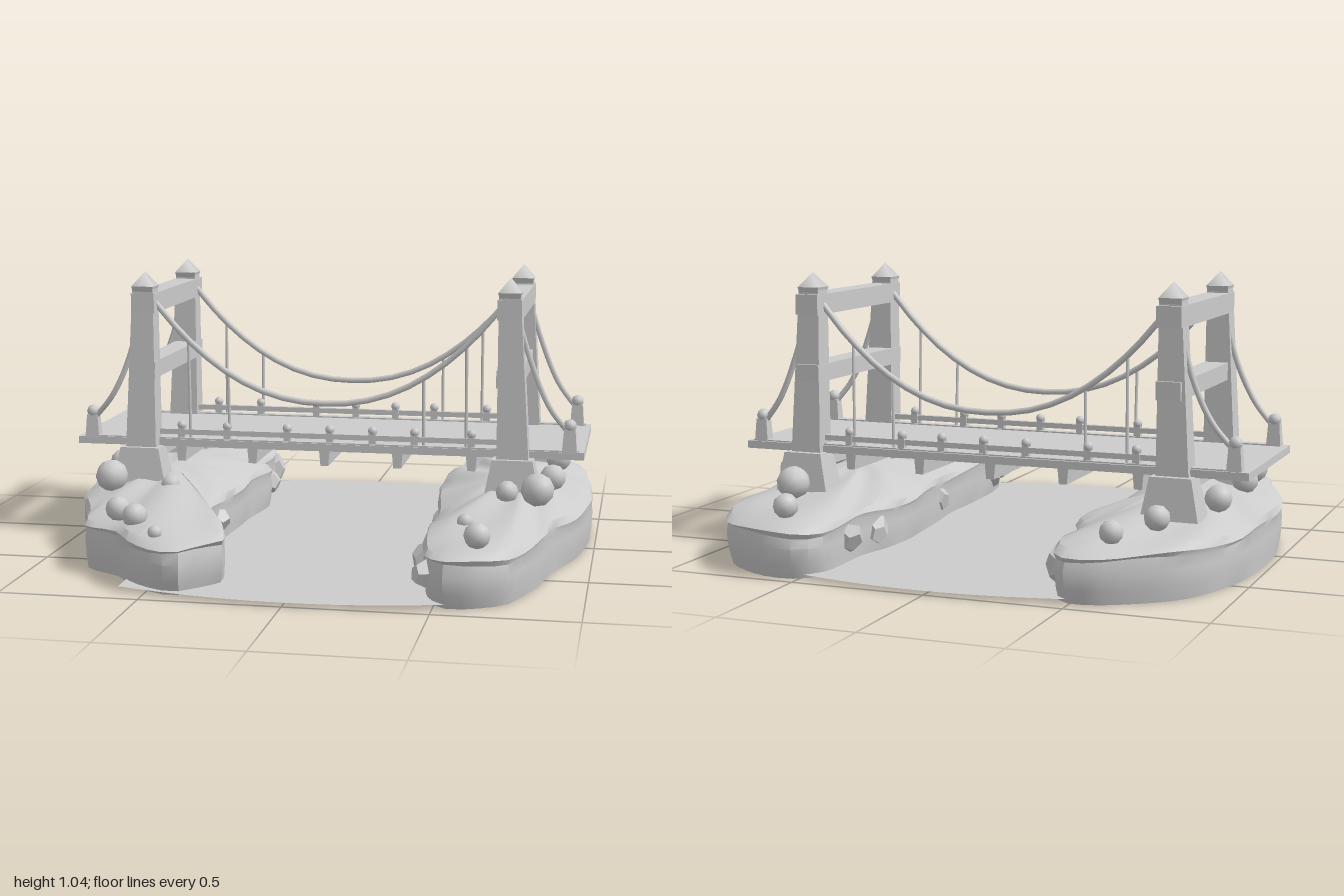
import * as THREE from 'three';
import { toCreasedNormals } from 'three/addons/utils/BufferGeometryUtils.js';

const grey = new THREE.MeshStandardMaterial({ color: 0xcccccc });
grey.name = 'plain grey';
const greySheet = new THREE.MeshStandardMaterial({ color: 0xcccccc, side: THREE.DoubleSide });
greySheet.name = 'plain grey sheet';
const V = (x, y, z) => new THREE.Vector3(x, y, z);

function add(parent, name, geometry, material = grey) {
  const mesh = new THREE.Mesh(geometry, material);
  mesh.name = name;
  parent.add(mesh);
  return mesh;
}

// Box given by its low and high limits on each axis
function box(parent, name, x0, x1, y0, y1, z0, z1) {
  const m = add(parent, name, new THREE.BoxGeometry(x1 - x0, y1 - y0, z1 - z0));
  m.position.set((x0 + x1) / 2, (y0 + y1) / 2, (z0 + z1) / 2);
  return m;
}

// Box that narrows and leans between two heights; ends are [centre x, width x, depth z]
function taper(parent, name, y0, y1, [x0, w0, d0], [x1, w1, d1], z) {
  const g = new THREE.BoxGeometry(1, 1, 1);
  const p = g.attributes.position;
  for (let i = 0; i < p.count; i++) {
    const top = p.getY(i) > 0;
    p.setXYZ(i, (top ? x1 : x0) + p.getX(i) * (top ? w1 : w0), top ? y1 : y0,
      z + p.getZ(i) * (top ? d1 : d0));
  }
  g.computeVertexNormals();
  return add(parent, name, g);
}

function tube(parent, name, points, radius) {
  return add(parent, name, new THREE.TubeGeometry(new THREE.CatmullRomCurve3(points), 20, radius, 6));
}

// Island: one outline shrunk through a stack of rings
function island(parent, name, outline, cx, cz) {
  const n = 72;
  const curve = new THREE.CatmullRomCurve3(outline.map(([x, z]) => V(x, 0, z)), true);
  const pts = curve.getSpacedPoints(n).slice(0, n);
  // height, scale
  const rings = [[0, 0.001], [0, 0.965], [0.05, 0.985], [0.11, 0.995], [0.15, 0.985], [0.165, 1],
    [0.185, 0.96], [0.205, 0.8], [0.23, 0.58], [0.25, 0.34], [0.262, 0.001]];
  const pos = [], idx = [];
  rings.forEach(([y, s], r) => pts.forEach((p, j) => {
    const wob = r > 1 && r < 6 ? 0.012 * Math.sin(j * 0.87 + Math.sin(j * 0.4) * 2) : 0;
    const lift = r > 3 && s > 0.1 ? 0.007 * Math.sin(j * 0.7 + r) : 0;
    pos.push(cx + (p.x - cx) * (s + wob), y + lift, cz + (p.z - cz) * (s + wob * 0.3));
  }));
  for (let r = 0; r < rings.length - 1; r++) {
    for (let j = 0; j < n; j++) {
      const k = (j + 1) % n, a = r * n, b = a + n;
      idx.push(a + k, a + j, b + j, a + k, b + j, b + k);
    }
  }
  const g = new THREE.BufferGeometry();
  g.setAttribute('position', new THREE.Float32BufferAttribute(pos, 3));
  g.setIndex(idx);
  add(parent, name, toCreasedNormals(g, 0.6));
}

function boulder(parent, name, x, y, z, r, i, detail = 0) {
  const g = detail ? new THREE.IcosahedronGeometry(r, 1) : new THREE.DodecahedronGeometry(r);
  const m = add(parent, name, g);
  m.position.set(x, y, z);
  m.rotation.set(i * 0.9, i * 1.7, i * 0.5);
  return m;
}

// One tower: two legs with feet and caps, joined by cross beams
function tower(parent, side) {
  const t = new THREE.Group();
  t.name = side < 0 ? 'rightTower' : 'leftTower';
  parent.add(t);
  const low = side < 0 ? -0.725 : 0.7, high = side < 0 ? -0.71 : 0.68;
  for (const z of [0.145, -0.47]) {
    const out = z > 0 ? 0.015 : -0.02;
    taper(t, 'towerFoot', 0.22, 0.37, [low, 0.21, 0.13], [low, 0.15, 0.1], z + out);
    taper(t, 'towerLeg', 0.34, 0.98, [low, 0.12, 0.09], [high, 0.08, 0.075], z);
    const cap = add(t, 'towerCap', new THREE.ConeGeometry(0.06, 0.055, 4));
    cap.position.set(high, 1.013, z);
    cap.rotation.y = Math.PI / 4;
    taper(t, 'capBase', 0.955, 0.986, [high, 0.07, 0.07], [high, 0.085, 0.085], z);
  }
  box(t, 'topBeam', high - 0.045, high + 0.045, 0.885, 0.96, -0.525, 0.185);
  box(t, 'middleBeam', high - 0.045, high + 0.045, 0.635, 0.7, -0.525, 0.185);
  box(t, 'lowerBeam', low - 0.05, low + 0.05, 0.31, 0.37, -0.46, 0.13);
}

export function createModel() {
  const model = new THREE.Group();
  model.name = 'suspensionBridge';

  // Water sheet with curved ends
  const water = new THREE.Shape();
  water.moveTo(-0.6, -0.9);
  water.quadraticCurveTo(0.03, -1.1, 0.62, -0.9);
  water.lineTo(0.62, 0.9);
  water.quadraticCurveTo(0.03, 1.1, -0.6, 0.9);
  const sheet = add(model, 'water', new THREE.ShapeGeometry(water, 16), greySheet);
  sheet.rotation.x = -Math.PI / 2;
  sheet.position.y = 0.015;

  // Islands
  island(model, 'rightIsland', [[-0.55, -0.96], [-0.46, -0.95], [-0.42, -0.86], [-0.4, -0.7],
    [-0.42, -0.55], [-0.36, -0.48], [-0.38, -0.2], [-0.4, 0.15], [-0.42, 0.4], [-0.39, 0.51],
    [-0.3, 0.62], [-0.25, 0.8], [-0.3, 0.88], [-0.38, 0.96], [-0.46, 0.94], [-0.58, 0.85],
    [-0.65, 0.75], [-0.8, 0.65], [-0.84, 0.5], [-0.92, 0.3], [-0.97, 0.1], [-0.985, -0.1],
    [-0.97, -0.4], [-0.92, -0.6], [-0.83, -0.78], [-0.68, -0.9]], -0.67, -0.05);
  island(model, 'leftIsland', [[0.43, -0.9], [0.5, -0.98], [0.6, -0.99], [0.71, -0.95],
    [0.85, -0.84], [0.93, -0.65], [0.96, -0.45], [0.985, -0.2], [0.975, 0], [0.94, 0.2],
    [0.87, 0.4], [0.83, 0.62], [0.77, 0.8], [0.73, 0.88], [0.55, 0.96], [0.48, 0.9], [0.45, 0.8],
    [0.43, 0.55], [0.43, 0.25], [0.4, 0], [0.38, -0.4], [0.42, -0.6], [0.42, -0.8]], 0.7, -0.05);

  // Boulders on top: x, y, z, radius
  [[-0.61, 0.23, -0.83, 0.042], [-0.72, 0.255, -0.67, 0.046], [-0.81, 0.275, 0.29, 0.062],
    [-0.58, 0.25, 0.29, 0.036], [-0.67, 0.235, 0.66, 0.046], [-0.59, 0.225, 0.72, 0.046],
    [-0.48, 0.2, 0.85, 0.025], [0.59, 0.24, -0.87, 0.046], [0.69, 0.275, -0.63, 0.062],
    [0.8, 0.28, 0.28, 0.062], [0.69, 0.27, 0.29, 0.042], [0.57, 0.22, 0.58, 0.03],
    [0.64, 0.24, 0.86, 0.046], [0.84, 0.275, 0.02, 0.05], [0.84, 0.275, -0.36, 0.05],
    [-0.85, 0.275, 0.02, 0.05], [-0.85, 0.275, -0.36, 0.05],
  ].forEach(([x, y, z, r], i) => boulder(model, 'boulder', x, y, z, r, i, 1));

  // Rocks along the inner banks
  [[-0.42, -0.8], [-0.38, -0.52], [-0.43, 0.2], [-0.43, 0.31], [0.43, -0.7], [0.42, -0.5],
    [0.44, 0.1], [0.45, 0.7], [0.47, 0.84],
  ].forEach(([x, z], i) => boulder(model, 'bankRock', x, 0.1, z, 0.05, i).scale.set(1, 1.4, 1));

  // Deck and joists
  box(model, 'deck', -0.99, 0.96, 0.367, 0.395, -0.49, 0.14);
  for (let i = 0; i < 5; i++) {
    const x = -0.585 + i * 0.281;
    taper(model, 'joist', 0.305, 0.37, [x, 0.03, 0.57], [x, 0.042, 0.57], -0.175);
  }

  for (const s of [-1, 1]) tower(model, s);

  // Rails, posts and cables on both sides of the deck
  const sag = x => 0.55 + 0.41 * Math.pow(Math.abs(x + 0.015) / 0.69, 2.2);
  for (const [rail, cable] of [[0.118, 0.135], [-0.462, -0.465]]) {
    const side = new THREE.Group();
    side.name = rail > 0 ? 'frontRailing' : 'backRailing';
    model.add(side);
    box(side, 'handrail', -0.67, 0.65, 0.412, 0.432, rail - 0.011, rail + 0.011);
    box(side, 'kerb', -0.96, 0.94, 0.39, 0.4, rail - 0.018, rail + 0.018);
    for (const x of [-0.58, -0.4, -0.165, 0, 0.165, 0.325, 0.54]) {
      box(side, 'post', x - 0.013, x + 0.013, 0.39, 0.44, rail - 0.013, rail + 0.013);
      boulder(side, 'postKnob', x, 0.448, rail, 0.018, 1, 1);
    }
    for (const x of [-0.935, 0.905]) {
      taper(side, 'anchorPost', 0.39, 0.48, [x, 0.055, 0.045], [x, 0.042, 0.036], rail);
      boulder(side, 'anchorKnob', x, 0.492, rail, 0.025, 2, 1);
    }
    const main = [];
    for (let i = 0; i <= 10; i++) {
      const x = -0.7 + i * 0.137;
      main.push(V(x, sag(x), cable));
    }
    tube(side, 'mainCable', main, 0.012);
    tube(side, 'rightBackstay', [V(-0.935, 0.46, rail), V(-0.85, 0.56, cable), V(-0.78, 0.71, cable),
      V(-0.72, 0.95, cable)], 0.011);
    tube(side, 'leftBackstay', [V(0.905, 0.46, rail), V(0.83, 0.56, cable), V(0.765, 0.71, cable),
      V(0.69, 0.95, cable)], 0.011);
    for (const x of [-0.545, -0.39, 0.36, 0.52]) {
      tube(side, 'hanger', [V(x, 0.39, rail), V(x, sag(x), cable)], 0.006);
    }
  }
  return model;
}
